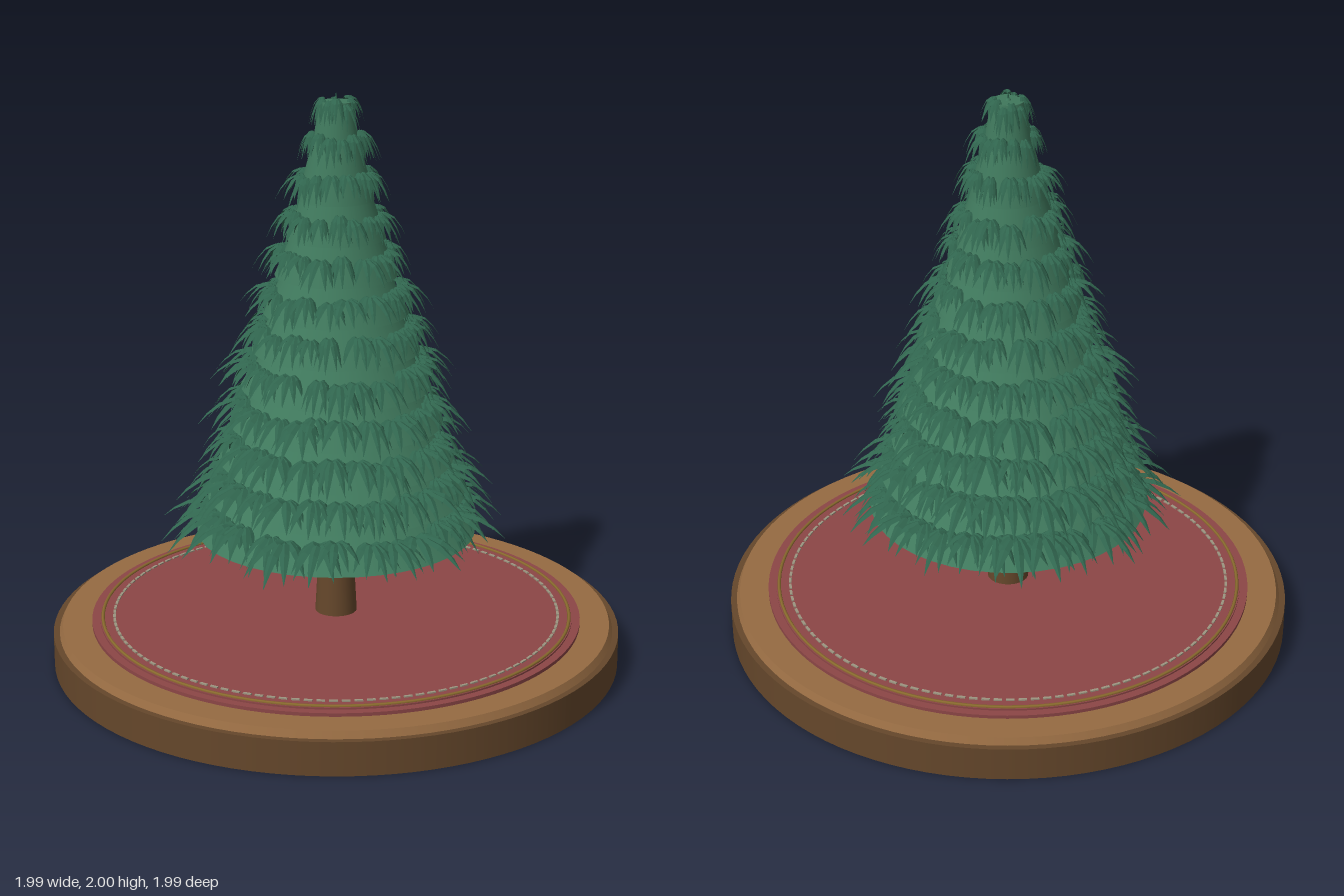
import * as THREE from 'three';
import { mergeGeometries } from 'three/addons/utils/BufferGeometryUtils.js';

const mat = (name, color, extra = {}) => {
  const m = new THREE.MeshStandardMaterial({ color, ...extra });
  m.name = name;
  return m;
};

export function createModel() {
  const model = new THREE.Group();
  model.name = 'treeOnStand';
  const darkWood = mat('dark wood', 0x65472b);
  const lightWood = mat('light wood', 0x966b42);
  const cloth = mat('red cloth', 0x8c4646);
  const gold = mat('old gold', 0x8a6a2e);
  const thread = mat('pale thread', 0x9c9580);
  const foliage = mat('foliage green', 0x3f785c);
  const needle = mat('needle green', 0x30654e, { side: THREE.DoubleSide, flatShading: true });

  const add = (name, geometry, material, y = 0) => {
    const m = new THREE.Mesh(geometry, material);
    m.name = name;
    m.position.y = y;
    model.add(m);
    return m;
  };
  const drum = (name, rTop, rBottom, y0, y1, material, sides = 96) =>
    add(name, new THREE.CylinderGeometry(rTop, rBottom, y1 - y0, sides), material, (y0 + y1) / 2);

  // Stepped round stand and cloth
  drum('standBase', 0.993, 0.993, 0, 0.118, darkWood);
  drum('standTop', 0.96, 0.972, 0.118, 0.142, lightWood);
  drum('clothSkirt', 0.858, 0.858, 0.142, 0.154, cloth);
  drum('clothTop', 0.83, 0.83, 0.154, 0.16, cloth);

  // Gold cord near the cloth edge
  const cord = new THREE.TorusGeometry(0.82, 0.006, 6, 96);
  cord.rotateX(Math.PI / 2);
  add('goldCord', cord, gold, 0.161);

  // Ring of stitches inside the cord
  const stitches = [];
  for (let k = 0; k < 120; k++) {
    const s = new THREE.BoxGeometry(0.009, 0.005, 0.028);
    s.translate(0.78, 0.162, 0);
    s.rotateY((k / 120) * Math.PI * 2);
    stitches.push(s);
  }
  add('stitchRing', mergeGeometries(stitches), thread);

  drum('trunk', 0.055, 0.073, 0.16, 0.5, darkWood, 24);

  // Small seeded generator for the natural irregularity
  let seed = 17;
  const rand = (a, b) => {
    seed = (seed * 16807) % 2147483647;
    return a + (b - a) * (seed / 2147483647);
  };

  // Arched, ridged blade: three points per cross-section, closing to a tip
  const positions = [];
  const blade = (cx, cy, cz, angle, length, rise, drop, width) => {
    const profile = [[0, 0.25], [0.25, 0.85], [0.55, 1], [0.8, 0.6], [1, 0]];
    const dx = Math.sin(angle), dz = Math.cos(angle);
    const rows = profile.map(([t, w]) => {
      const y = cy + rise * 4 * t * (1 - t) - drop * t * t;
      const x = cx + dx * length * t, z = cz + dz * length * t, h = width * w;
      return [
        [x - dz * h, y - h * 0.5, z + dx * h],
        [x, y, z],
        [x + dz * h, y - h * 0.5, z - dx * h],
      ];
    });
    for (let r = 0; r < rows.length - 1; r++) {
      for (let c = 0; c < 2; c++) {
        const a = rows[r][c], b = rows[r][c + 1], d = rows[r + 1][c], e = rows[r + 1][c + 1];
        positions.push(...a, ...d, ...b);
        if (r < rows.length - 2) positions.push(...b, ...d, ...e);
      }
    }
  };

  // Tiers: a skirt cone with sprays of blades drooping over its rim
  const tiers = 12;
  for (let i = 0; i < tiers; i++) {
    const y = 0.468 + i * 0.13;
    const r = 0.485 - i * 0.0395;
    const last = i === tiers - 1;
    drum('foliageTier' + (i + 1), last ? 0.006 : r * 0.6, r, y, last ? 1.975 : y + 0.2, foliage, 40);

    const count = Math.round(30 - i * 1.8);
    for (let k = 0; k < count; k++) {
      const angle = ((k + 0.5 * (i % 2) + rand(-0.25, 0.25)) / count) * Math.PI * 2;
      const size = (0.185 - i * 0.0115) * rand(0.75, 1.2);
      const start = r * 0.84;
      const top = y + rand(0.075, 0.1) - (last ? 0.02 : 0);
      const x = Math.sin(angle) * start, z = Math.cos(angle) * start;
      const drop = rand(0.06, 0.1);
      for (let b = -3; b <= 3; b++) {
        const side = Math.abs(b);
        blade(x, top, z, angle + b * 0.42 + rand(-0.1, 0.1),
          size * (1 - side * 0.17), 0.022 - i * 0.0006,
          drop * (1 - side * 0.05), 0.004 + size * 0.065);
      }
    }
  }
  const sprays = new THREE.BufferGeometry();
  sprays.setAttribute('position', new THREE.Float32BufferAttribute(positions, 3));
  sprays.computeVertexNormals();
  add('needleSprays', sprays, needle);

  // Pointed leader at the very top
  add('topLeader', new THREE.ConeGeometry(0.01, 0.06, 8), needle, 1.97);
  return model;
}
